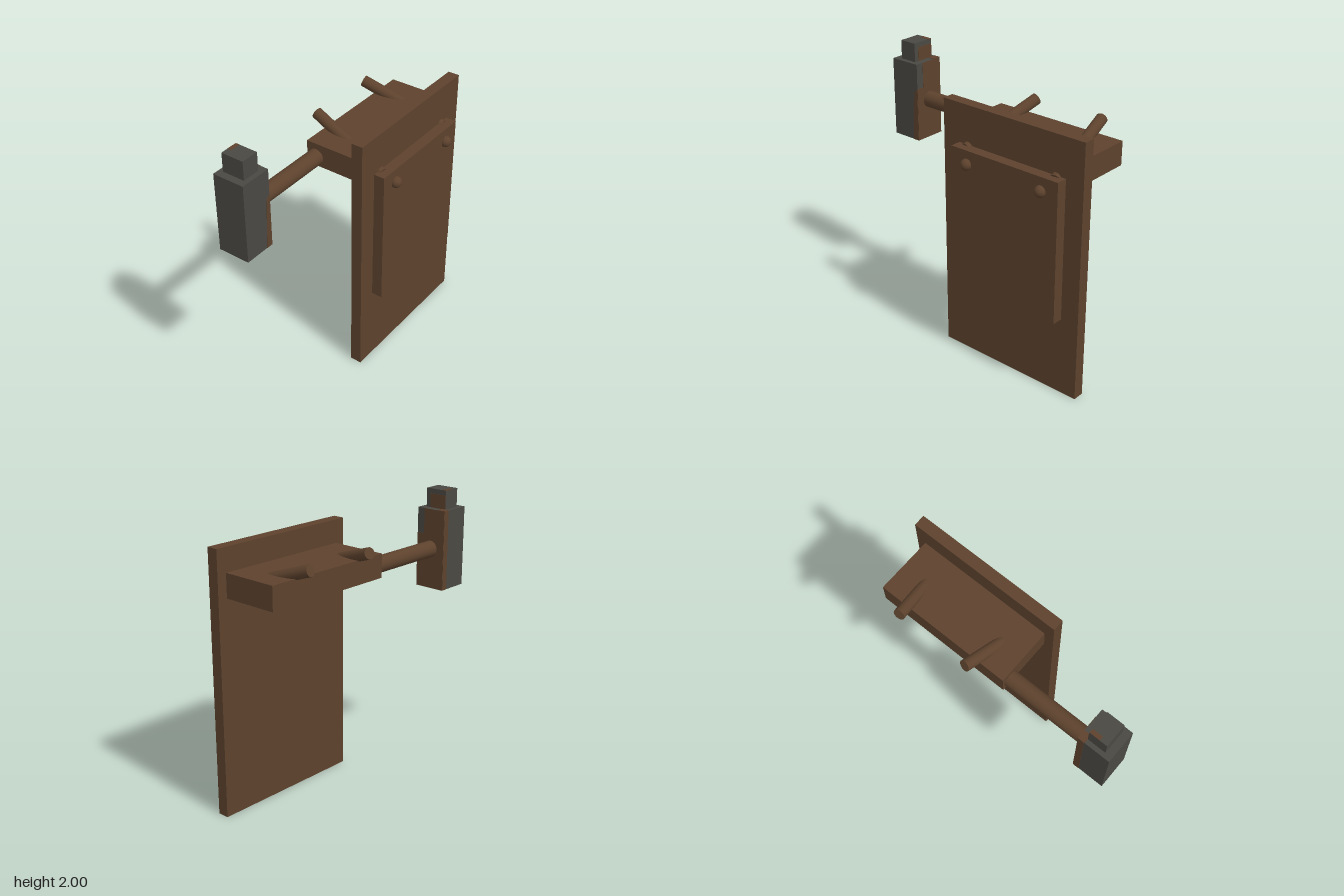
import * as THREE from 'three';

export function createModel() {
  const root = new THREE.Group();
  const material = (name, color) => {
    const m = new THREE.MeshStandardMaterial({ color });
    m.name = name;
    return m;
  };
  const wood = material('brown wood', 0x5d422d);
  const iron = material('dark iron', 0x4a4843);

  const add = (name, geometry, mat) => {
    const mesh = new THREE.Mesh(geometry, mat);
    mesh.name = name;
    root.add(mesh);
    return mesh;
  };
  // box given by its extents on each axis
  const box = (name, mat, [x0, x1], [y0, y1], [z0, z1]) => {
    const mesh = add(name, new THREE.BoxGeometry(x1 - x0, y1 - y0, z1 - z0), mat);
    mesh.position.set((x0 + x1) / 2, (y0 + y1) / 2, (z0 + z1) / 2);
  };
  // round rod between two points
  const rod = (name, a, b, radius) => {
    const from = new THREE.Vector3(...a), to = new THREE.Vector3(...b);
    const mesh = add(name, new THREE.CylinderGeometry(radius, radius, from.distanceTo(to), 24), wood);
    mesh.position.copy(from).lerp(to, 0.5);
    mesh.quaternion.setFromUnitVectors(new THREE.Vector3(0, 1, 0), to.sub(from).normalize());
  };

  // board, raised panel and rear shelf
  box('backBoard', wood, [-0.185, 0.957], [0, 1.847], [0.155, 0.237]);
  box('frontPanel', wood, [-0.05, 0.822], [0.57, 1.572], [0.237, 0.315]);
  box('shelf', wood, [-0.115, 0.887], [1.515, 1.682], [-0.257, 0.155]);

  // slanted pegs through the shelf and round studs, mirrored about the board centre
  const centre = 0.386;
  for (const [side, s] of [['right', -1], ['left', 1]]) {
    rod(side + 'Peg', [centre + s * 0.366, 1.547, 0.25], [centre + s * 0.27, 1.745, -0.35], 0.04);
    const stud = add(side + 'Stud', new THREE.SphereGeometry(0.04, 20, 14), wood);
    stud.position.set(centre + s * 0.304, 1.476, 0.32);
  }

  // hammer: handle, head and cap
  rod('hammerHandle', [-0.74, 1.583, -0.184], [-0.1, 1.583, -0.184], 0.058);
  box('hammerHead', iron, [-0.962, -0.73], [1.295, 1.866], [-0.298, -0.067]);
  box('hammerCap', iron, [-0.91, -0.78], [1.866, 2], [-0.267, -0.102]);

  // thin brown patches on the head and cap
  const t = 0.002;
  box('headSidePatch', wood, [-0.73, -0.73 + t], [1.295, 1.866], [-0.298, -0.125]);
  box('headSideLowerPatch', wood, [-0.73, -0.73 + t], [1.295, 1.685], [-0.125, -0.067]);
  box('headBackPatch', wood, [-0.775, -0.73], [1.295, 1.866], [-0.298 - t, -0.298]);
  box('headTopPatch', wood, [-0.78, -0.73], [1.866, 1.866 + t], [-0.298, -0.235]);
  box('capSidePatch', wood, [-0.78, -0.78 + t], [1.866, 1.965], [-0.267, -0.135]);
  box('capTopPatch', wood, [-0.855, -0.78], [2 - t, 2 + t / 2], [-0.267, -0.237]);
  const wedge = new THREE.Shape([[-0.78, 1.295], [-0.73, 1.295], [-0.73, 1.68], [-0.76, 1.66]]
    .map(([x, y]) => new THREE.Vector2(x, y)));
  add('headFrontPatch', new THREE.ExtrudeGeometry(wedge, { depth: t, bevelEnabled: false }), wood)
    .position.z = -0.067;

  return root;
}
